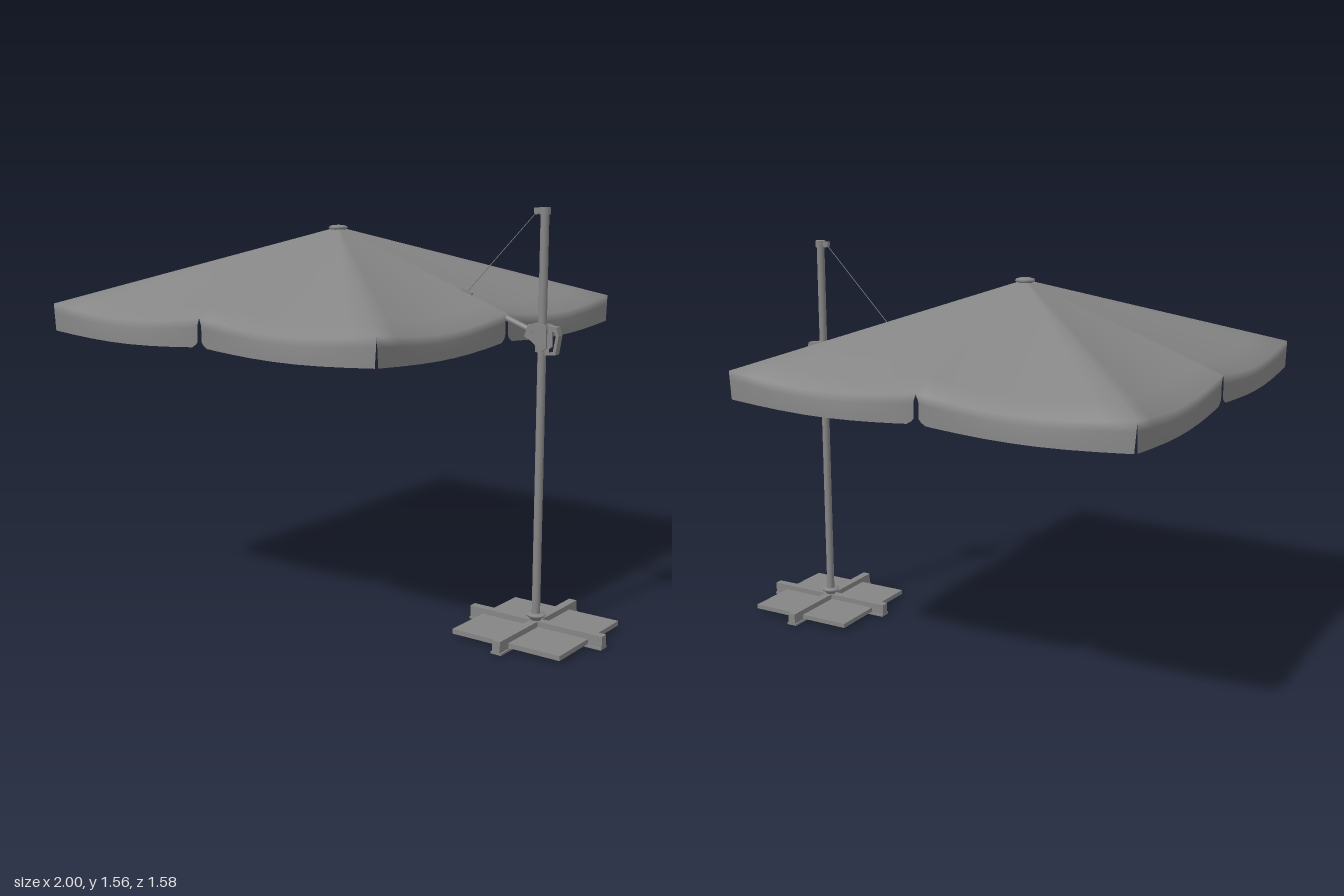
import * as THREE from 'three';
import { mergeVertices, mergeGeometries } from 'three/addons/utils/BufferGeometryUtils.js';

const COLOR = 0x858585;
const grey = new THREE.MeshStandardMaterial({ color: COLOR });
const cloth = new THREE.MeshStandardMaterial({ color: COLOR, side: THREE.DoubleSide });

const CX = -0.21, HALF = 0.78, APEX = 1.465, EDGE = 1.18, MAST_X = 0.718;
const V = (x, y, z) => new THREE.Vector3(x, y, z);

function add(parent, name, geo, mat = grey, x = 0, y = 0, z = 0) {
  const m = new THREE.Mesh(geo, mat);
  m.name = name;
  m.position.set(x, y, z);
  parent.add(m);
  return m;
}

// Round bar between two points
function rod(parent, name, a, b, r, sides = 8) {
  const d = b.clone().sub(a);
  const m = add(parent, name, new THREE.CylinderGeometry(r, r, d.length(), sides));
  m.position.copy(a).addScaledVector(d, 0.5);
  m.quaternion.setFromUnitVectors(V(0, 1, 0), d.normalize());
  return m;
}

const lathe = pts => new THREE.LatheGeometry(pts.map(p => new THREE.Vector2(...p)), 24);

// Sheet whose points come from fn(u, v) at the given u rows and v columns
function sheet(us, vs, fn) {
  const pos = us.flatMap(u => vs.flatMap(v => fn(u, v))), idx = [];
  for (let i = 0; i < us.length - 1; i++)
    for (let j = 0; j < vs.length - 1; j++) {
      const a = i * vs.length + j, b = a + vs.length;
      idx.push(a, a + 1, b, b, a + 1, b + 1);
    }
  const g = new THREE.BufferGeometry();
  g.setAttribute('position', new THREE.Float32BufferAttribute(pos, 3));
  g.setIndex(idx);
  return g;
}

// Cloth sags between the ribs, more so toward the hem
const clothY = (r, t) => APEX - (APEX - EDGE) * r - 0.033 * r * r * Math.sin(Math.PI * t);

// Half of one side: roof for u up to 1, hanging valance from 1 to 2
function canopyPoint(u, v, h) {
  const s = Math.abs(v);
  if (u <= 1) return [HALF * u, clothY(u, s), HALF * u * v];
  const d = u - 1, wave = Math.sin(Math.PI * s);
  const bottom = 1.076 - 0.016 * wave + 0.02 * Math.max(0, 1 - s / 0.04) ** 2;
  const notch = 0.012 * Math.min(1, d * 3) * (1 - s);
  return [
    HALF + 0.012 * wave * Math.sin(d * Math.PI / 2),
    THREE.MathUtils.lerp(clothY(1, s), bottom, d),
    h * HALF * (s + notch - 0.01 * d * s),
  ];
}

function buildCanopy() {
  const g = new THREE.Group();
  g.name = 'canopy';
  g.position.x = CX;

  const rows = [0, 0.05, 0.15, 0.3, 0.45, 0.6, 0.75, 0.88, 1, 1.33, 1.67, 2];
  const cols = [0, 0.012, 0.035, 0.1, 0.2, 0.32, 0.45, 0.58, 0.72, 0.86, 1];
  const mirrored = cols.map(s => -s).reverse();
  const parts = [];
  for (let k = 0; k < 4; k++)
    for (const h of [-1, 1])
      parts.push(sheet(rows, h > 0 ? cols : mirrored, (u, v) => canopyPoint(u, v, h)).rotateY(k * Math.PI / 2));
  const fabric = mergeVertices(mergeGeometries(parts), 1e-4);
  fabric.computeVertexNormals();
  add(g, 'canopyFabric', fabric, cloth);

  // Crown cap
  add(g, 'crownCap', lathe([[0.03, -0.01], [0.038, -0.004], [0.034, 0.003], [0.02, 0.007], [0, 0.008]]), cloth, 0, APEX);
  return g;
}

function buildFrame() {
  const g = new THREE.Group();
  g.name = 'ribFrame';
  g.position.x = CX;
  rod(g, 'centrePole', V(0, 1.15, 0), V(0, 1.45, 0), 0.012, 16);
  add(g, 'upperHub', new THREE.CylinderGeometry(0.026, 0.03, 0.03, 16), grey, 0, 1.425);
  add(g, 'lowerHub', new THREE.CylinderGeometry(0.03, 0.026, 0.03, 16), grey, 0, 1.17);
  add(g, 'poleTip', new THREE.SphereGeometry(0.014, 12, 8), grey, 0, 1.15);

  // Ribs to corners and side middles, each braced by a strut
  for (let k = 0; k < 8; k++) {
    const a = k * Math.PI / 4;
    const len = k % 2 ? Math.SQRT2 * HALF : HALF;
    const at = (r, drop) => V(Math.cos(a) * len * r, clothY(r, 0) - drop, Math.sin(a) * len * r);
    rod(g, 'rib', at(0.03, 0.015), at(0.985, 0.015), 0.009);
    const joint = at(k % 2 ? 0.45 : 0.55, 0.022);
    rod(g, 'strut', V(Math.cos(a) * 0.025, 1.17, Math.sin(a) * 0.025), joint, 0.0075);
    add(g, 'strutJoint', new THREE.SphereGeometry(0.011, 10, 8)).position.copy(joint);
  }
  return g;
}

function buildMast() {
  const g = new THREE.Group();
  g.name = 'mast';
  rod(g, 'mastTube', V(MAST_X, 0.03, 0), V(MAST_X, 1.545, 0), 0.0155, 24);
  const foot = [[0.018, 0.046], [0.022, 0.056], [0.035, 0.066], [0.035, 0.073], [0.016, 0.076]];
  add(g, 'footCollar', lathe(foot), cloth, MAST_X);
  add(g, 'mastCap', new THREE.CylinderGeometry(0.02, 0.02, 0.026, 20), grey, MAST_X, 1.55);
  add(g, 'pulleyBracket', new THREE.BoxGeometry(0.034, 0.02, 0.018), grey, MAST_X - 0.023, 1.55);
  add(g, 'pulley', new THREE.CylinderGeometry(0.009, 0.009, 0.02, 16), grey, 0.688, 1.546).rotation.x = Math.PI / 2;

  // Cantilever arm, cord and cord anchor
  rod(g, 'arm', V(0.68, 1.122, 0), V(CX + 0.02, 1.438, 0), 0.011, 12);
  rod(g, 'cord', V(0.685, 1.545, 0), V(0.4, 1.25, 0), 0.0015, 6);
  add(g, 'cordAnchor', new THREE.BoxGeometry(0.05, 0.014, 0.01), grey, 0.395, 1.246).rotation.z = -0.35;
  return g;
}

// Outline of [x, y] points extruded along z, with an optional hole
function plate(points, depth, hole) {
  const s = new THREE.Shape(points.map(p => new THREE.Vector2(...p)));
  if (hole) s.holes.push(new THREE.Path(hole.map(p => new THREE.Vector2(...p))));
  return new THREE.ExtrudeGeometry(s, { depth, bevelEnabled: false }).translate(0, 0, -depth / 2);
}

function buildSlider() {
  const g = new THREE.Group();
  g.name = 'slider';
  g.position.set(MAST_X, 1.1, 0);
  add(g, 'sliderSleeve', new THREE.CylinderGeometry(0.024, 0.024, 0.1, 20), grey, 0, 0.002);

  // Cheeks holding the end of the arm
  const cheek = [[-0.045, 0.05], [-0.02, 0.055], [0.03, 0.05], [0.03, -0.03], [0.01, -0.045], [-0.03, -0.01], [-0.06, 0.005]];
  for (const z of [-0.021, 0.021]) add(g, 'sliderCheek', plate(cheek, 0.008), grey, 0, 0, z);
  for (const [x, y] of [[-0.038, 0.026], [-0.03, 0.006]])
    add(g, 'pivotPin', new THREE.CylinderGeometry(0.01, 0.01, 0.054, 14), grey, x, y).rotation.x = Math.PI / 2;

  // Hand grip loop behind the mast
  const grip = [[0.02, 0.05], [0.064, 0.045], [0.074, 0.015], [0.062, -0.054], [0.018, -0.058]];
  const hole = [[0.036, 0.03], [0.055, 0.028], [0.062, 0.012], [0.052, -0.042], [0.036, -0.046]];
  add(g, 'gripLoop', plate(grip, 0.028, hole));
  return g;
}

function buildBase() {
  const g = new THREE.Group();
  g.name = 'base';
  g.position.x = 0.72;
  // Crossed beams with a narrow foot flange
  const half = [[0.022, 0], [0.022, 0.008], [0.016, 0.008], [0.016, 0.05]];
  const profile = [...half, ...half.map(([x, y]) => [-x, y]).reverse()];
  add(g, 'crossBeam', plate(profile, 0.56));
  add(g, 'crossBeam', plate(profile, 0.56)).rotation.y = Math.PI / 2;

  // Four ballast slabs between the beams
  for (const sx of [-1, 1])
    for (const sz of [-1, 1])
      add(g, 'ballastSlab', new THREE.BoxGeometry(0.213, 0.018, 0.211), grey, sx * 0.1175, 0.02, sz * 0.1165);
  return g;
}

export function createModel() {
  const model = new THREE.Group();
  model.name = 'cantileverParasol';
  model.add(buildCanopy(), buildFrame(), buildMast(), buildSlider(), buildBase());
  return model;
}
